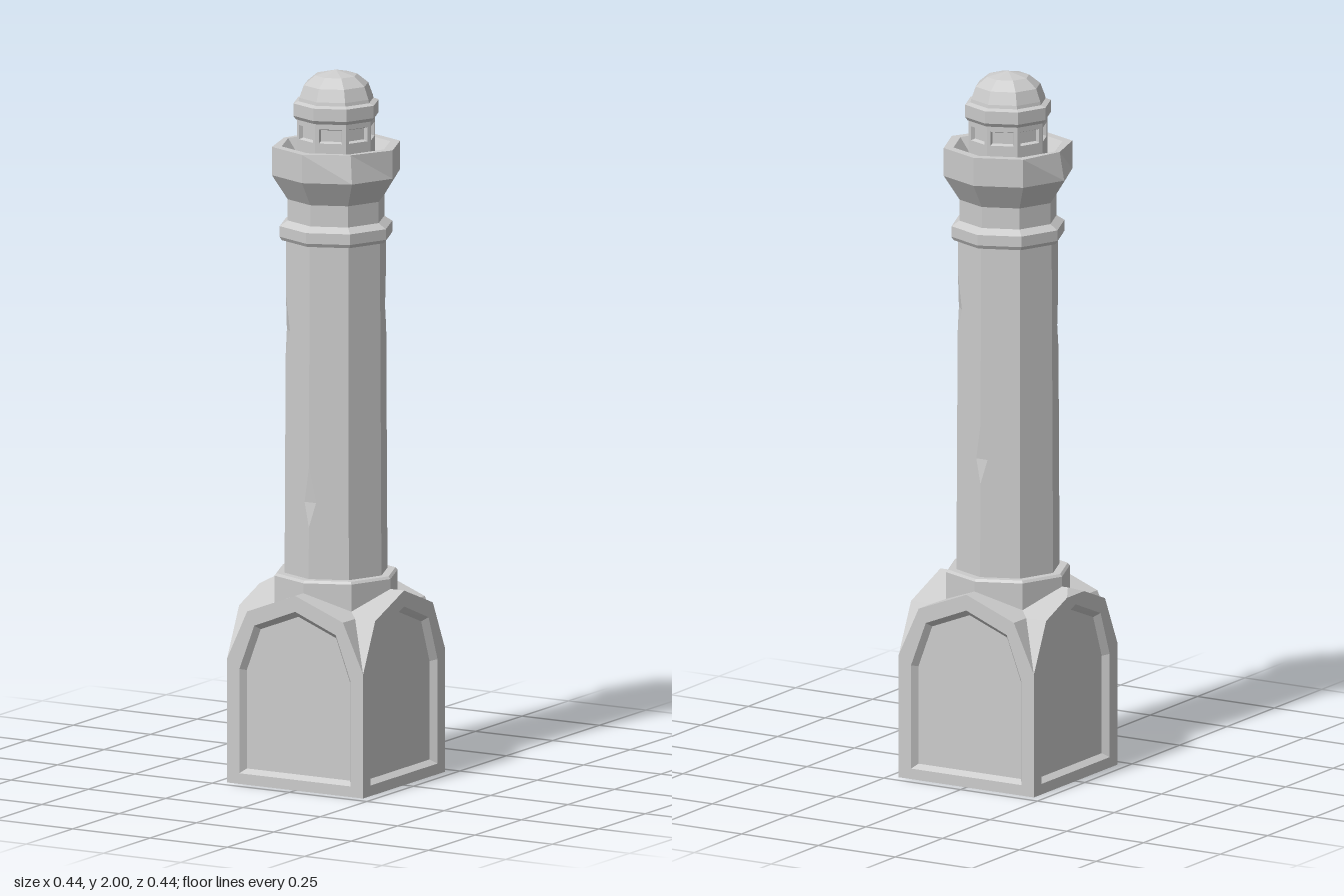
import * as THREE from 'three';
import { mergeGeometries } from 'three/addons/utils/BufferGeometryUtils.js';

const material = new THREE.MeshStandardMaterial({ color: 0xcccccc, flatShading: true });
const SIDES = 8;
const STEP = (Math.PI * 2) / SIDES;

function addMesh(parent, name, geometry) {
  geometry.computeVertexNormals();
  const mesh = new THREE.Mesh(geometry, material);
  mesh.name = name;
  parent.add(mesh);
  return mesh;
}

// Non-indexed geometry from a list of corner points, three per triangle
function triangles(points) {
  const geo = new THREE.BufferGeometry().setFromPoints(points);
  geo.computeVertexNormals();
  return geo;
}

// Strip of quads between two rows of points
function loft(a, b, closed = false) {
  const pts = [];
  const n = a.length;
  for (let i = 0; i < (closed ? n : n - 1); i++) {
    const j = (i + 1) % n;
    pts.push(a[i], a[j], b[j], a[i], b[j], b[i]);
  }
  return triangles(pts);
}

const to2 = (pts) => pts.map(([x, y]) => new THREE.Vector2(x, y));
const to3 = (pts, z) => pts.map(([x, y]) => new THREE.Vector3(x, y, z));

function flat(outline, hole) {
  const shape = new THREE.Shape(to2(outline));
  if (hole) shape.holes.push(new THREE.Path(to2(hole)));
  const geo = new THREE.ShapeGeometry(shape).toNonIndexed();
  geo.deleteAttribute('uv');
  return geo;
}

// Flat wall with a recessed, bevelled panel; outlines run counter-clockwise
function panelWall(outline, hole, inner, depth) {
  return mergeGeometries([
    flat(outline, hole),
    loft(to3(hole, 0), to3(inner, -depth), true),
    flat(inner).translate(0, 0, -depth),
  ]);
}

function lathe(profile) {
  return new THREE.LatheGeometry(to2(profile), SIDES);
}

const rect = (w, y0, y1) => [[-w, y0], [w, y0], [w, y1], [-w, y1]];

// Pointed arch: half width, bottom, spring height, shoulder, apex
function arch(w, y0, y1, shoulderX, shoulderY, apexY) {
  return [[-w, y0], [w, y0], [w, y1], [shoulderX, shoulderY], [0, apexY],
    [-shoulderX, shoulderY], [-w, y1]];
}

// Square base with four arched gables meeting in diagonal valleys
function buildBase() {
  const base = new THREE.Group();
  base.name = 'base';
  const half = 0.22;
  const hole = arch(0.18, 0.03, 0.325, 0.132, 0.452, 0.505);
  const inner = arch(0.167, 0.042, 0.32, 0.122, 0.44, 0.488);
  for (let i = 0; i < 4; i++) {
    const outline = arch(half, 0, 0.35, 0.155, 0.49, 0.55);
    const chipped = i === 3;
    if (chipped) outline.splice(4, 1, [0.045, 0.533], [-0.045, 0.533]);
    const side = new THREE.Group();
    side.name = 'baseSide';
    side.rotation.y = (i * Math.PI) / 2;
    base.add(side);
    addMesh(side, 'archedWall', panelWall(outline, hole, inner, 0.018).translate(0, 0, half));

    // Roof runs from the gable edge back to the valleys
    const front = to3(outline.slice(2), half);
    if (chipped) {
      const tip = new THREE.Vector3(0, 0.55, 0.195);
      addMesh(side, 'chippedTip', triangles([front[2], tip, front[3]]));
      front.splice(3, 0, tip);
    }
    const valley = front.map((p) => new THREE.Vector3(p.x, p.y, Math.abs(p.x)));
    addMesh(side, 'gableRoof', loft(valley, front));
  }
  addMesh(base, 'underside', new THREE.PlaneGeometry(2 * half, 2 * half).rotateX(Math.PI / 2));
  return base;
}

// Tapered eight-sided shaft with small chips knocked out of some edges
function buildShaft() {
  const shaft = new THREE.Group();
  shaft.name = 'shaft';
  const y0 = 0.57, y1 = 1.54, cut = 0.18, up = 0.1, down = 0.07;
  const chips = { 0: 0.8, 3: 1.33, 4: 0.92, 7: 1.27 };
  const corner = (k, y) => {
    const r = THREE.MathUtils.mapLinear(y, y0, y1, 0.147, 0.142);
    return new THREE.Vector3(Math.sin(k * STEP) * r, y, Math.cos(k * STEP) * r);
  };
  const onFace = (k, u, y) => corner(k, y).lerp(corner(k + 1, y), u);

  for (let k = 0; k < SIDES; k++) {
    const left = chips[k];
    const right = chips[(k + 1) % SIDES];
    const outline = [[0, y0], [1, y0]];
    if (right) outline.push([1, right - down], [1 - cut, right], [1, right + up]);
    outline.push([1, y1], [0, y1]);
    if (left) outline.push([0, left + up], [cut, left], [0, left - down]);
    const face = flat(outline);
    const pos = face.attributes.position;
    for (let i = 0; i < pos.count; i++) {
      const p = onFace(k, pos.getX(i), pos.getY(i));
      pos.setXYZ(i, p.x, p.y, p.z);
    }
    addMesh(shaft, 'shaftFace', face);
    if (left) {
      const l = onFace(k - 1, 1 - cut, left);
      const r = onFace(k, cut, left);
      addMesh(shaft, 'edgeChip',
        triangles([corner(k, left - down), r, l, l, r, corner(k, left + up)]));
    }
  }
  return shaft;
}

// Flared gallery with a sloped well inside its parapet
function buildGallery() {
  const geo = lathe([[0.138, 1.56], [0.138, 1.64], [0.183, 1.71], [0.183, 1.79],
    [0.155, 1.79], [0.118, 1.74], [0, 1.74]]);
  const pos = geo.attributes.position;
  const perColumn = 7;
  // Worn outer corners of the rim
  for (const column of [1, 6]) {
    const i = column * perColumn + 3;
    pos.setXYZ(i, pos.getX(i) * 0.92, 1.79, pos.getZ(i) * 0.92);
  }
  return geo;
}

// Lantern room: eight walls, each with a recessed window
function buildLantern() {
  const lantern = new THREE.Group();
  lantern.name = 'lantern';
  const radius = 0.112;
  const halfWidth = radius * Math.sin(STEP / 2);
  const apothem = radius * Math.cos(STEP / 2);
  for (let k = 0; k < SIDES; k++) {
    const wall = addMesh(lantern, 'windowWall', panelWall(
      rect(halfWidth, 1.73, 1.88), rect(0.032, 1.81, 1.85), rect(0.029, 1.814, 1.846), 0.012,
    ).translate(0, 0, apothem));
    wall.rotation.y = (k + 0.5) * STEP;
  }
  addMesh(lantern, 'cornice', lathe([[0.1, 1.865], [0.115, 1.865], [0.122, 1.875],
    [0.122, 1.91], [0.1, 1.918]]));
  addMesh(lantern, 'dome', lathe([[0.108, 1.91], [0.105, 1.925], [0.092, 1.96],
    [0.06, 1.986], [0, 2]]));
  return lantern;
}

export function createModel() {
  const tower = new THREE.Group();
  tower.name = 'tower';
  tower.add(buildBase(), buildShaft(), buildLantern());
  addMesh(tower, 'plinthRing', lathe([[0.176, 0.4], [0.176, 0.578], [0.17, 0.585], [0.13, 0.585]]));
  addMesh(tower, 'collar', lathe([[0.13, 1.525], [0.155, 1.525], [0.161, 1.535],
    [0.161, 1.565], [0.135, 1.582]]));
  addMesh(tower, 'gallery', buildGallery());
  return tower;
}
